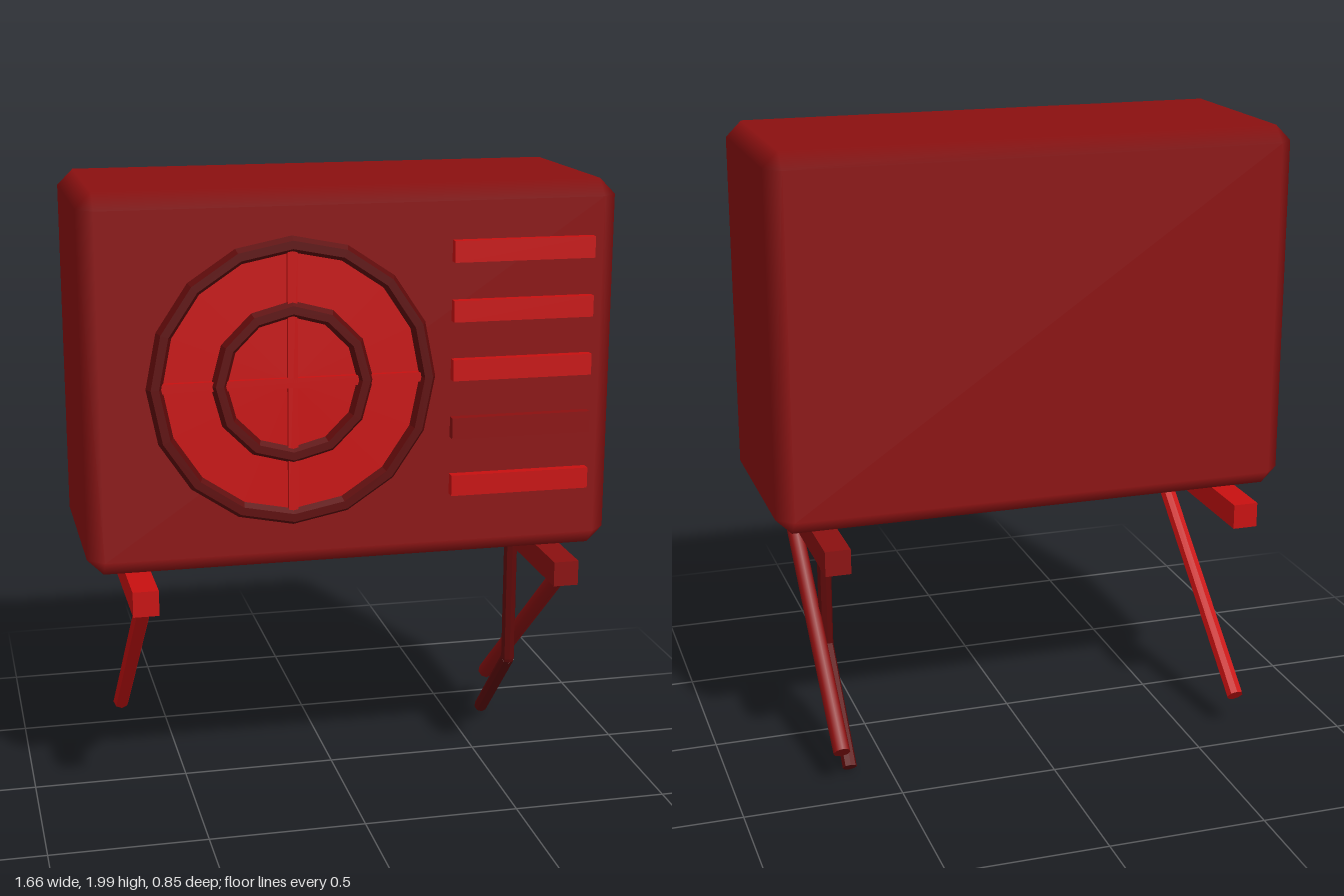
import * as THREE from 'three';
import { ConvexGeometry } from 'three/addons/geometries/ConvexGeometry.js';

const mat = (name, color, flat = true) => {
  const m = new THREE.MeshStandardMaterial({ color, flatShading: flat });
  m.name = name;
  return m;
};

// Box with one soft chamfer: every corner has one point per main face, shaded with that face's normal
function chamferedBox(w, h, d, c) {
  const half = [w / 2, h / 2, d / 2], points = [];
  for (const x of [-1, 1]) for (const y of [-1, 1]) for (const z of [-1, 1])
    for (let axis = 0; axis < 3; axis++)
      points.push(new THREE.Vector3(...[x, y, z].map((s, i) => s * (half[i] - (i === axis ? 0 : c)))));
  const geo = new ConvexGeometry(points);
  const p = geo.attributes.position, n = geo.attributes.normal;
  for (let i = 0; i < p.count; i++) {
    const v = [p.getX(i), p.getY(i), p.getZ(i)];
    n.setXYZ(i, ...v.map((a, k) => (Math.abs(Math.abs(a) - half[k]) < 1e-4 ? Math.sign(a) : 0)));
  }
  return geo;
}

export function createModel() {
  const model = new THREE.Group();
  model.name = 'outdoorCoolingUnit';
  const casingRed = mat('casingRed', 0x8b1010, false);
  const brightRed = mat('brightRed', 0xc81010);
  const darkRed = mat('darkRed', 0x5e0909);

  const add = (name, geo, material, x, y, z, parent = model) => {
    const mesh = new THREE.Mesh(geo, material);
    mesh.name = name;
    mesh.position.set(x, y, z);
    parent.add(mesh);
    return mesh;
  };
  const box = (name, w, h, d, material, x, y, z, parent) =>
    add(name, new THREE.BoxGeometry(w, h, d), material, x, y, z, parent);

  // Straight round bar between two points
  const rod = (name, a, b, radius, material) => {
    const from = new THREE.Vector3(...a), to = new THREE.Vector3(...b);
    const dir = to.clone().sub(from);
    const mid = from.clone().add(to).multiplyScalar(0.5);
    const mesh = add(name, new THREE.CylinderGeometry(radius, radius, dir.length(), 8), material, mid.x, mid.y, mid.z);
    mesh.quaternion.setFromUnitVectors(new THREE.Vector3(0, 1, 0), dir.normalize());
    return mesh;
  };

  // Casing
  add('casing', chamferedBox(1.66, 1.17, 0.69, 0.05), casingRed, 0, 1.415, 0);

  // Fan grille: disc, cross bars and two rings
  const fan = new THREE.Group();
  fan.name = 'fanGrille';
  fan.position.set(-0.2, 1.42, 0.345);
  model.add(fan);
  const disc = new THREE.CylinderGeometry(0.41, 0.41, 0.02, 16).rotateX(Math.PI / 2);
  add('fanDisc', disc, brightRed, 0, 0, 0, fan);
  box('grilleBarAcross', 0.8, 0.03, 0.025, brightRed, 0, 0, 0.014, fan);
  box('grilleBarUpright', 0.03, 0.8, 0.025, brightRed, 0, 0, 0.014, fan);
  add('outerRing', new THREE.TorusGeometry(0.42, 0.025, 6, 16), darkRed, 0, 0, 0.019, fan);
  add('innerRing', new THREE.TorusGeometry(0.225, 0.025, 6, 12), darkRed, 0, 0, 0.019, fan);

  // Vent slats, the fourth in the casing colour
  for (let i = 0; i < 5; i++)
    box('ventSlat', 0.445, 0.066, 0.04, i === 3 ? casingRed : brightRed, 0.522, 1.8 - i * 0.183, 0.355);

  // Wall brackets with diagonal struts
  for (const [side, material] of [[-1, brightRed], [1, casingRed]]) {
    const x = side * 0.668;
    box('bracketBar', 0.08, 0.08, 0.85, material, x, 0.77, 0);
    rod('bracketStrut', [x, 0.755, 0.37], [x, 0.125, -0.4], 0.027, material);
  }

  // Bent drain pipe
  const bend = [0.625, 0.325, -0.015];
  rod('drainPipe', [0.625, 0.85, -0.015], bend, 0.023, darkRed);
  rod('drainSpout', bend, [0.625, 0.025, -0.315], 0.023, darkRed);
  add('drainElbow', new THREE.SphereGeometry(0.023, 8, 6), darkRed, ...bend);

  return model;
}
